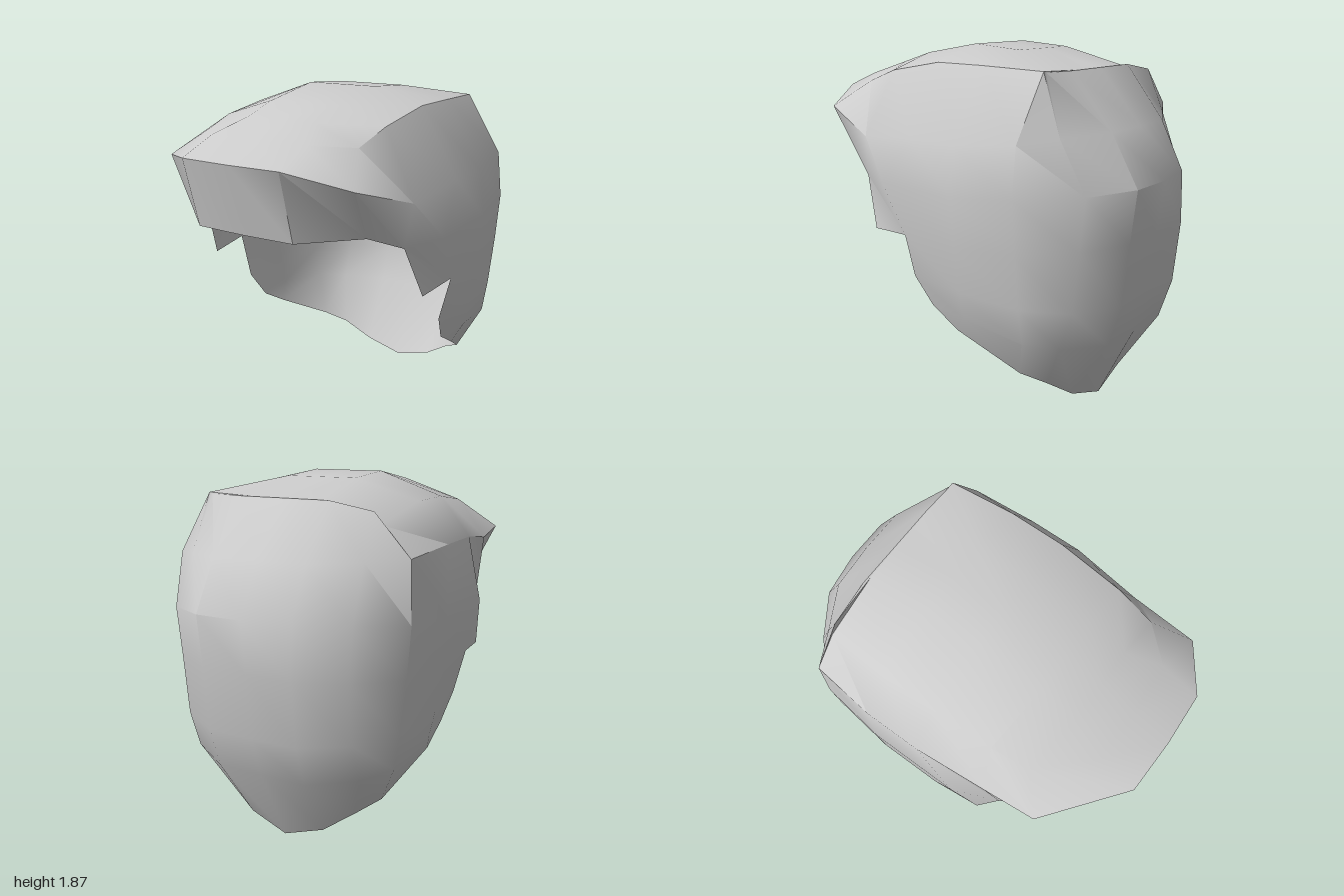
import * as THREE from 'three';
import { toCreasedNormals } from 'three/addons/utils/BufferGeometryUtils.js';

const { clamp, lerp } = THREE.MathUtils;

// Top ridge, front to back: [y, z]
const RIDGE = [[1.75, .6], [1.81, .4], [1.87, .05], [1.85, -.25], [1.77, -.6]];

// Pointed nape hem, from the side to the back centre: [x, y, z]
const HEM = [[.61, .53, 0], [.6, .43, -.17], [.49, .25, -.5], [.38, .18, -.59], [.22, .07, -.64], [0, 0, -.66]];

// Bands: front [y, z], corner and temple points, half width w, start of the side, heights and back depth
const SHOULDER = { front: [1.68, .79], corner: [.45, 1.66, .61], temple: [.47, 1.73, .4], w: .48, start: .05, sideY: 1.79, backY: 1.77, back: -.61 };
const BROW = { front: [1.6, 1], corner: [.56, 1.51, .82], temple: [.65, 1.39, .44], w: .69, start: .05, sideY: 1.43, backY: 1.5, back: -.85 };
const FRINGE = { front: [1.25, .91], corner: [.52, 1.25, .65], temple: [.62, 1.17, .47], w: .72, start: .24, sideY: 1.18, backY: 1.25, back: -1 };
const TAB = { temple: [.67, .9, .36], w: .7, start: .1, sideY: .92, backY: .98, back: -.97 };
const NAPE = { w: .67, lip: .03, start: .1, sideY: .68, backY: .65, back: -.94 };
const NAPE_LOW = { w: .64, lip: .03, start: 0, sideY: .53, backY: .43, back: -.87 };

// The right side has a rounder shoulder, a wider brow and a shallower rear corner.
const SHOULDER_RIGHT = { ...SHOULDER, corner: [.5, 1.66, .55], temple: [.53, 1.71, .36], w: .55, sideY: 1.75, rearY: 1.67 };
const BROW_RIGHT = { ...BROW, corner: [.65, 1.53, .69], temple: [.67, 1.5, .42], w: .71, sideY: 1.55, back: -.83 };
const FRINGE_RIGHT = { ...FRINGE, back: -.96, rearDepth: .15 };

// Ten points from the front centre, round one side, to the back centre; null where the face is open
function halfBand({ front, corner = null, temple = null, w, lip = 0, start, sideY, backY, back, rearY = (sideY + backY) / 2, rearDepth = .13 }) {
  return [
    front ? [0, ...front] : null,
    front ? [.28, front[0], front[1] - .01] : null,
    corner,
    temple,
    [w - lip, sideY, start],
    [w, sideY, -.25],
    [w * .94, rearY, -.6],
    [Math.min(.48, w * .9), lerp(backY, rearY, .4), Math.min(back + rearDepth, -.6)],
    [.25, backY, back],
    [0, backY, back],
  ];
}

// A line along the crown, x to the side of the centre; its two ends stay on the centre line.
function crownLine(x) {
  return Array.from({ length: 10 }, (_, c) => [c === 0 || c === 9 ? 0 : x, ...RIDGE[clamp(c - 2, 0, 4)]]);
}

// Join a left half and a mirrored right half into a full loop.
function joinHalves(left, right = left) {
  const mirrored = right.slice(1, -1).reverse().map((p) => p && [-p[0], p[1], p[2]]);
  return [...left, ...mirrored];
}

const band = (left, right = left) => joinHalves(halfBand(left), halfBand(right));

export function createModel() {
  const group = new THREE.Group();
  group.name = 'headShell';

  const loops = [
    joinHalves(crownLine(0)),
    joinHalves(crownLine(.2)),
    band(SHOULDER, SHOULDER_RIGHT),
    band(BROW, BROW_RIGHT),
    band(FRINGE, FRINGE_RIGHT),
    band(TAB),
    band(NAPE),
    band(NAPE_LOW),
    joinHalves([null, null, null, null, ...HEM]),
  ];

  // Skin neighbouring loops, leaving out collapsed triangles.
  const pos = [];
  const rowStart = [];
  const same = (a, b) => a.every((v, i) => v === b[i]);
  const tri = (a, b, c) => {
    if (!same(a, b) && !same(b, c) && !same(a, c)) pos.push(...a, ...b, ...c);
  };
  for (let r = 0; r < loops.length - 1; r++) {
    rowStart.push(pos.length);
    const up = loops[r], low = loops[r + 1];
    for (let i = 0; i < up.length; i++) {
      const j = (i + 1) % up.length;
      if (!up[i] || !up[j] || !low[i] || !low[j]) continue;
      tri(up[i], low[i], low[j]);
      tri(up[i], low[j], up[j]);
    }
  }
  rowStart.push(pos.length);

  const skin = new THREE.BufferGeometry();
  skin.setAttribute('position', new THREE.Float32BufferAttribute(pos, 3));
  const shell = toCreasedNormals(skin, 0.7);

  // Split the shell into parts that keep their shared shading.
  const material = new THREE.MeshStandardMaterial({ color: 0xcccccc, side: THREE.DoubleSide });
  const addPart = (name, from, to) => {
    const geo = new THREE.BufferGeometry();
    for (const key of ['position', 'normal']) {
      const values = shell.attributes[key].array.slice(rowStart[from], rowStart[to]);
      geo.setAttribute(key, new THREE.BufferAttribute(values, 3));
    }
    const mesh = new THREE.Mesh(geo, material);
    mesh.name = name;
    group.add(mesh);
  };
  addPart('crown', 0, 3);
  addPart('fringeBand', 3, 4);
  addPart('sideTabs', 4, 5);
  addPart('nape', 5, 8);
  return group;
}
